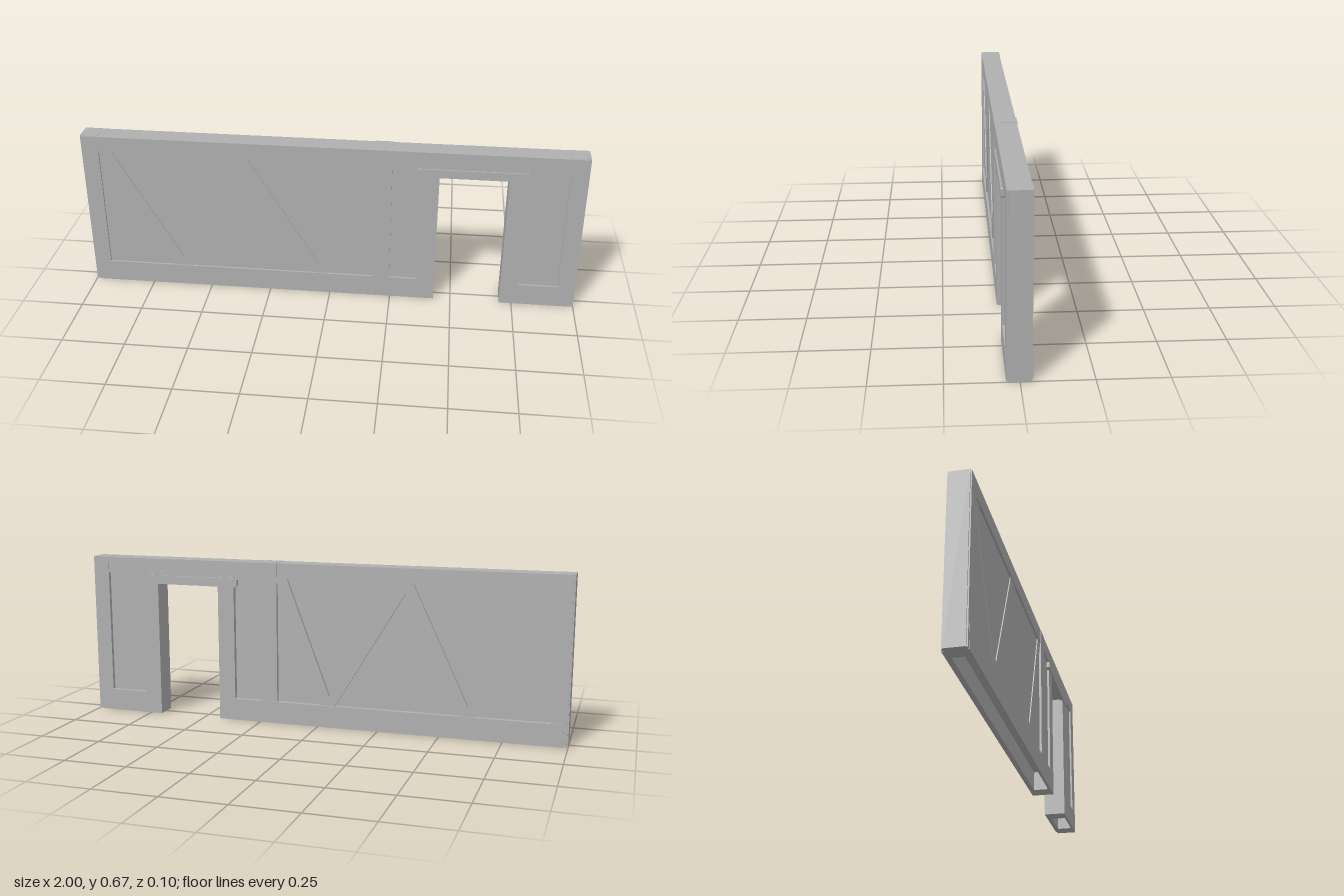
import * as THREE from 'three';

export function createModel() {
  const wall = new THREE.Group();
  wall.name = 'timberWall';
  const grey = new THREE.MeshStandardMaterial({ color: 0xb0b0b0 });
  grey.name = 'plain grey';

  // Box given by its limits on each axis
  function block(name, x0, x1, y0, y1, z0, z1) {
    const mesh = new THREE.Mesh(new THREE.BoxGeometry(x1 - x0, y1 - y0, z1 - z0), grey);
    mesh.position.set((x0 + x1) / 2, (y0 + y1) / 2, (z0 + z1) / 2);
    mesh.name = name;
    wall.add(mesh);
  }

  // Flat outline in the xy plane, extruded from z0 to z1
  function slab(name, points, z0, z1) {
    const shape = new THREE.Shape(points.map(([x, y]) => new THREE.Vector2(x, y)));
    const geometry = new THREE.ExtrudeGeometry(shape, { depth: z1 - z0, bevelEnabled: false });
    geometry.translate(0, 0, z0);
    const mesh = new THREE.Mesh(geometry, grey);
    mesh.name = name;
    wall.add(mesh);
  }

  const H = 0.665, baseTop = 0.09, beamBottom = 0.6;
  const front = 0.045, back = -0.041;

  // Recessed infill panels
  block('mainPanel', -0.95, 0.2, baseTop - 0.01, 0.62, -0.026, 0.037);
  block('narrowPanel', 0.22, 0.38, baseTop - 0.01, 0.62, -0.026, 0.037);
  block('endPanel', 0.75, 0.95, baseTop - 0.01, 0.62, -0.026, 0.037);

  // Upright posts
  block('leftEndPost', -1, -0.93, 0, H, -0.037, 0.04);
  block('leftEndPostFace', -0.995, -0.93, 0.001, H - 0.001, back, front);
  block('middlePost', 0.175, 0.245, baseTop - 0.01, H, back - 0.001, front + 0.001);
  block('rightEndPost', 0.93, 1, 0, H, -0.037, 0.04);
  block('rightEndPostFace', 0.93, 0.995, 0.001, H - 0.001, back, front);

  // Top beam along the whole wall
  block('topBeam', -0.98, 0.98, beamBottom, H - 0.001, -0.039, front);

  // Skirting boards on both faces, hollow between them
  for (const [x0, x1] of [[-0.98, 0.4], [0.73, 0.98]]) {
    block('frontSkirting', x0, x1, 0, baseTop, 0.035, front + 0.001);
    block('backSkirting', x0, x1, 0, baseTop, -0.045, -0.025);
  }

  // Zigzag braces, showing on both faces
  const nodes = [[-0.91, 0.61], [-0.61, 0.08], [-0.36, 0.61], [-0.04, 0.08], [0.16, 0.61]];
  const half = 0.025;
  for (let i = 0; i < nodes.length - 1; i++) {
    const [[xa, ya], [xb, yb]] = [nodes[i], nodes[i + 1]];
    slab('brace', [[xa - half, ya], [xa + half, ya], [xb + half, yb], [xb - half, yb]], -0.038, 0.041);
  }

  // Doorway: jambs, header and lintel mouldings
  block('doorJamb', 0.36, 0.43, 0, beamBottom, -0.045, front + 0.001);
  block('doorJamb', 0.7, 0.77, 0, beamBottom, -0.045, front + 0.001);
  block('doorHeader', 0.43, 0.7, 0.565, beamBottom + 0.01, -0.04, front);
  const lintel = [[0.355, 0.56], [0.775, 0.56], [0.78, 0.566], [0.78, 0.589],
    [0.772, 0.595], [0.353, 0.595], [0.345, 0.589], [0.345, 0.566]];
  // Short ears hang past the jambs; the span over the opening is flush with the header
  slab('frontLintel', lintel, 0.035, 0.051);
  slab('backLintel', lintel, -0.05, -0.03);

  return wall;
}
